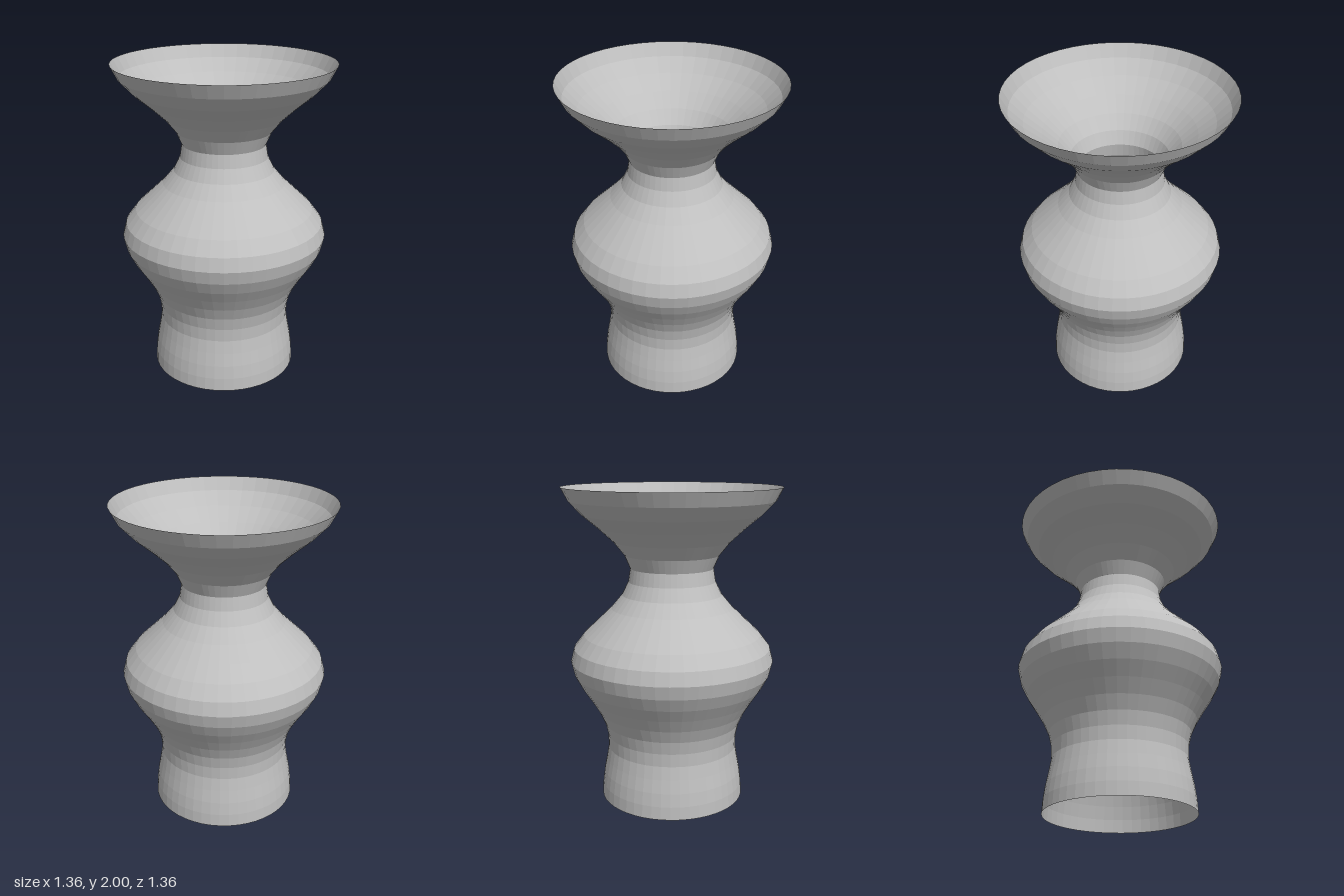
import * as THREE from 'three';

export function createModel() {
  const model = new THREE.Group();
  model.name = 'vase';

  const grey = new THREE.MeshStandardMaterial({ color: 0xbfbfbf, side: THREE.DoubleSide, flatShading: true });
  grey.name = 'light grey';

  // Wall radii at evenly spaced heights, from the foot to the flared rim
  const radii = [
    0.462, 0.458, 0.447, 0.431, 0.417, 0.42, 0.439, // foot and lower waist
    0.477, 0.527, 0.582, 0.626, 0.646, 0.624,       // belly
    0.56, 0.472, 0.385, 0.315, 0.275, 0.262,        // shoulder and neck
    0.298, 0.366, 0.457, 0.557, 0.637, 0.68,        // flared mouth
  ];
  const height = 2;
  const profile = radii.map((r, i) => new THREE.Vector2(r, (height * i) / (radii.length - 1)));

  // Thin open wall, with neither floor nor lid
  const wall = new THREE.Mesh(new THREE.LatheGeometry(profile, 48), grey);
  wall.name = 'vaseWall';
  model.add(wall);

  return model;
}
